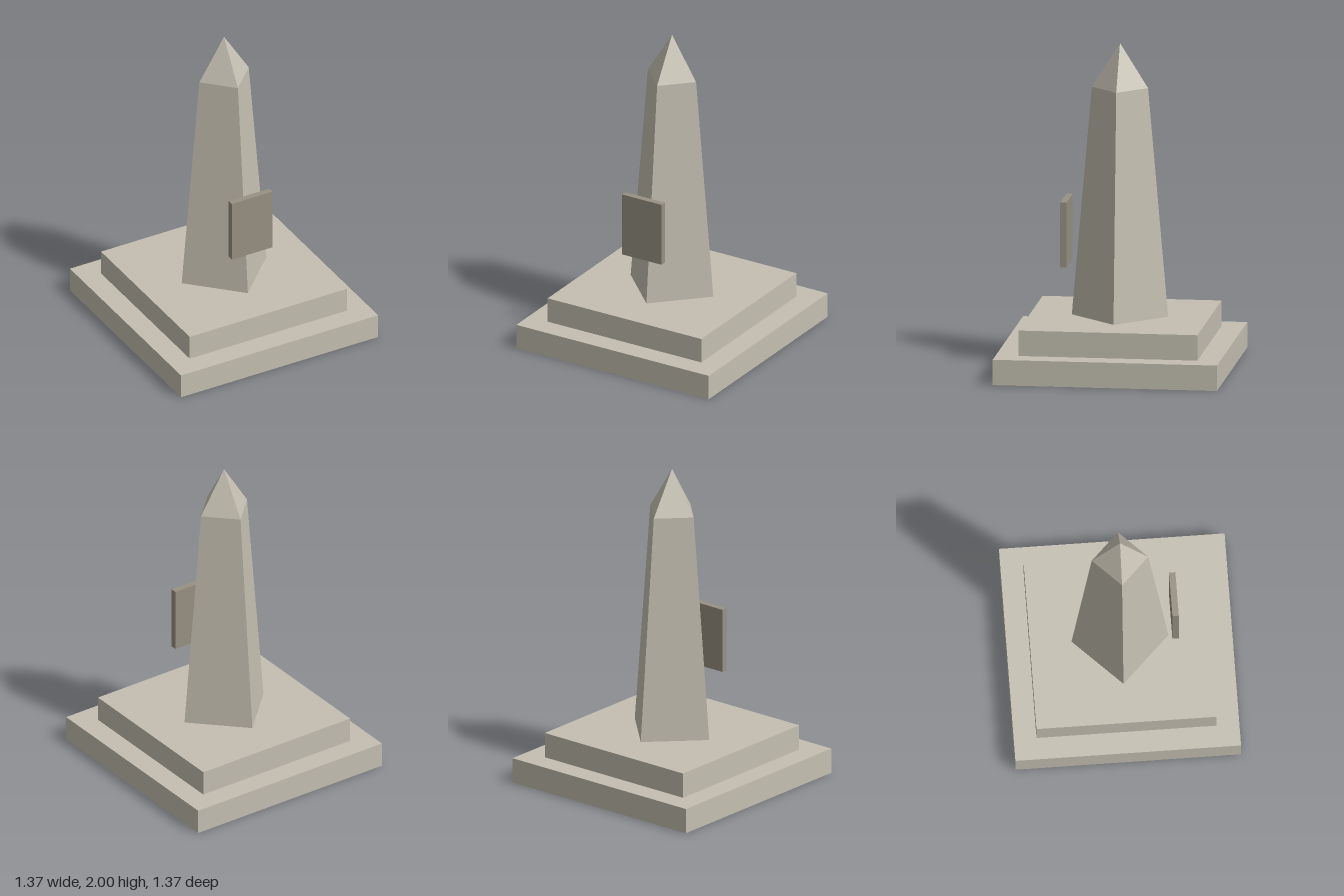
import * as THREE from 'three';

export function createModel() {
  const stone = new THREE.MeshStandardMaterial({ color: 0xc4bfb1 });
  stone.name = 'pale stone';
  stone.flatShading = true;
  const darkStone = new THREE.MeshStandardMaterial({ color: 0x979182 });
  darkStone.name = 'dark stone';

  const monument = new THREE.Group();
  monument.name = 'obelisk';

  function add(name, geometry, material, y, z = 0) {
    const mesh = new THREE.Mesh(geometry, material);
    mesh.name = name;
    mesh.position.set(0, y, z);
    monument.add(mesh);
  }

  // Stepped square base
  const step = 0.157;
  add('lowerStep', new THREE.BoxGeometry(1.373, step, 1.373), stone, step / 2);
  add('upperStep', new THREE.BoxGeometry(1.096, step, 1.096), stone, step * 1.5);

  // Four-sided tapered shaft with its corners on the axes, and a pointed cap
  const shaftBottom = step * 2, shaftTop = 1.725;
  add('shaft', new THREE.CylinderGeometry(0.172, 0.295, shaftTop - shaftBottom, 4), stone,
    (shaftBottom + shaftTop) / 2);
  add('cap', new THREE.ConeGeometry(0.172, 2 - shaftTop, 4), stone, (shaftTop + 2) / 2);

  // Plaque standing just in front of the shaft
  add('plaque', new THREE.BoxGeometry(0.282, 0.402, 0.039), darkStone, 0.831, 0.328);

  return monument;
}
